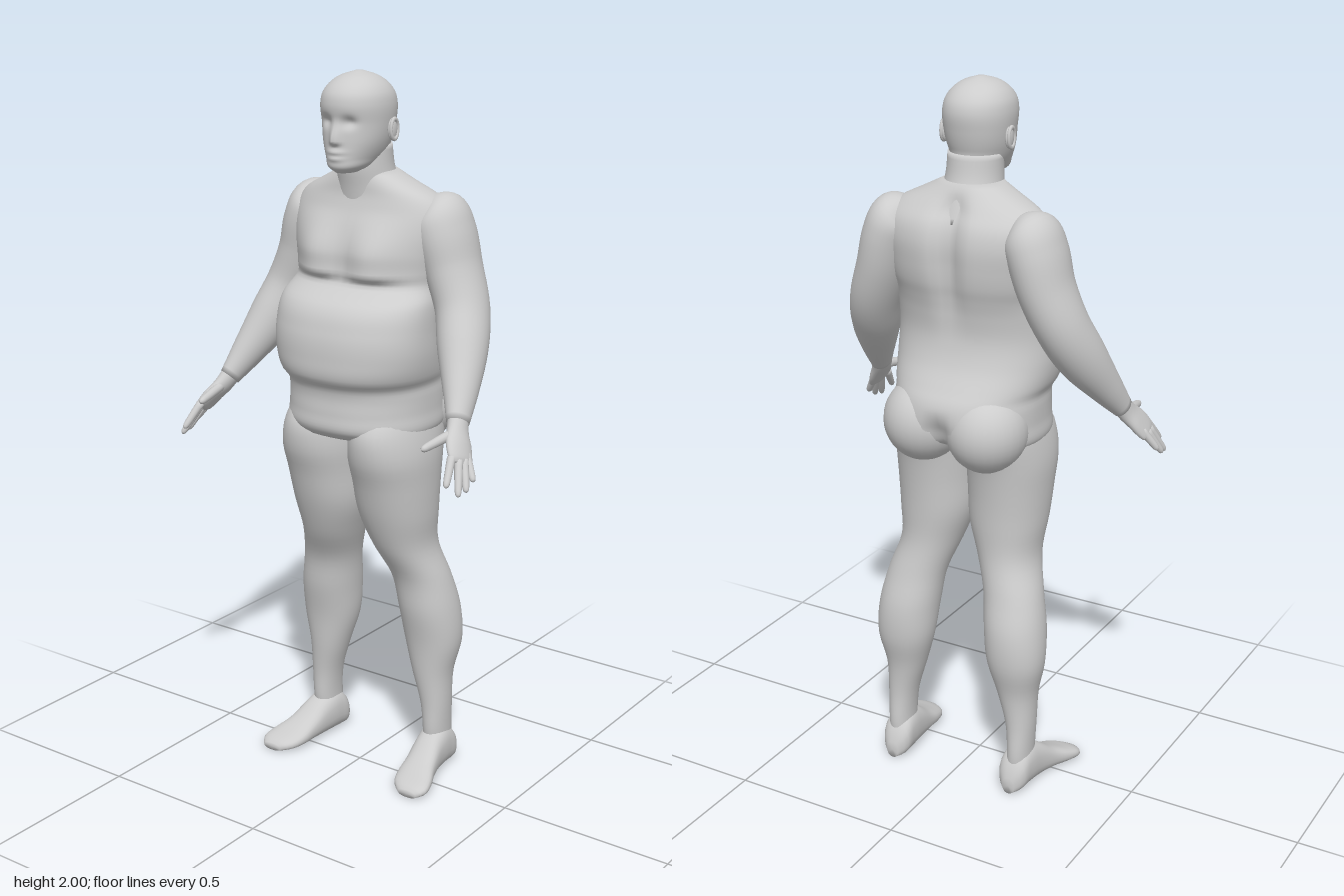
import * as THREE from 'three';

const V = (x, y, z) => new THREE.Vector3(x, y, z);
const gauss = (x, s) => Math.exp(-(x * x) / (s * s));
const step = THREE.MathUtils.smoothstep;
const pow = (c, e) => Math.sign(c) * Math.abs(c) ** (2 / e);

// Skin closed rings of points into a capped smooth surface.
function skin(rings) {
  const n = rings[0].length, m = rings.length, pos = [], idx = [];
  rings.forEach(r => r.forEach(p => pos.push(p.x, p.y, p.z)));
  for (let i = 0; i < m - 1; i++) for (let j = 0; j < n; j++) {
    const k = (j + 1) % n, a = i * n + j, b = i * n + k;
    idx.push(a, a + n, b, b, a + n, b + n);
  }
  [0, m - 1].forEach((i, end) => {
    const c = rings[i].reduce((s, p) => s.add(p), V(0, 0, 0)).divideScalar(n);
    const ci = pos.length / 3;
    pos.push(c.x, c.y, c.z);
    for (let j = 0; j < n; j++) {
      const a = i * n + j, b = i * n + (j + 1) % n;
      end ? idx.push(ci, b, a) : idx.push(ci, a, b);
    }
  });
  const g = new THREE.BufferGeometry();
  g.setAttribute('position', new THREE.Float32BufferAttribute(pos, 3));
  g.setIndex(idx);
  g.computeVertexNormals();
  return g;
}

// Smoothly resample rows whose first entry ascends.
function resample(rows, count) {
  const size = rows[0].length;
  const f = new THREE.CubicInterpolant(new Float32Array(rows.map(r => r[0])), new Float32Array(rows.flat()), size);
  const a = rows[0][0], b = rows[rows.length - 1][0];
  return Array.from({ length: count + 1 }, (_, i) => Array.from(f.evaluate(a + (b - a) * i / count)));
}

// Horizontal slices: rows of [y, centre x, half width, front z, back z].
function slices(rows, { count = 40, n = 40, e = 2, s = 1, shape } = {}) {
  return skin(resample(rows, count).map(([y, cx, w, f, b]) =>
    Array.from({ length: n }, (_, j) => {
      const a = j / n * Math.PI * 2, c = Math.cos(a), d = Math.sin(a);
      const p = V(s * cx + w * pow(c, e), y, (f + b) / 2 + (f - b) / 2 * pow(d, e));
      if (shape) shape(p, d);
      return p;
    })));
}

// Limb along a path: rows of [x, y, z, radius across, radius fore and aft].
function limb(rows, s, count = 30, n = 24) {
  const path = new THREE.CatmullRomCurve3(rows.map(r => V(s * r[0], r[1], r[2])));
  const size = resample(rows.map((r, i) => [i, r[3], r[4]]), count);
  return skin(size.map(([t, a, b]) => {
    t /= rows.length - 1;
    const c = path.getPoint(t), T = path.getTangent(t);
    const N = T.clone().cross(V(0, 0, 1)).normalize(), B = N.clone().cross(T);
    return Array.from({ length: n }, (_, j) => {
      const q = j / n * Math.PI * 2;
      return c.clone().addScaledVector(N, a * Math.cos(q)).addScaledVector(B, b * Math.sin(q));
    });
  }));
}

// Foot built from heel to toe: rows of [z, centre x, half width, height].
function footGeometry(s) {
  const rows = [[-.182, .195, .018, .05], [-.165, .195, .038, .09], [-.12, .197, .045, .13], [-.06, .203, .046, .115],
    [0, .214, .05, .075], [.05, .227, .058, .05], [.09, .238, .052, .034], [.112, .243, .03, .022]];
  return skin(resample(rows, 24).map(([z, cx, w, h]) => Array.from({ length: 28 }, (_, j) => {
    const a = j / 28 * Math.PI * 2;
    return V(s * cx + w * pow(Math.cos(a), 2.4), h / 2 - h / 2 * pow(Math.sin(a), 2.4), z);
  })));
}

const TORSO = [[1.03, 0, .2, .14, -.2], [1.05, 0, .213, .163, -.232], [1.1, 0, .212, .166, -.243],
  [1.15, 0, .211, .164, -.237], [1.175, 0, .21, .17, -.228], [1.2, 0, .221, .189, -.212], [1.26, 0, .232, .195, -.178],
  [1.33, 0, .232, .187, -.16], [1.4, 0, .227, .155, -.165], [1.445, 0, .215, .09, -.175], [1.48, 0, .221, .078, -.185],
  [1.53, 0, .23, .075, -.192], [1.6, 0, .24, .06, -.192], [1.645, 0, .232, .045, -.178], [1.68, 0, .2, .035, -.152],
  [1.71, 0, .14, .033, -.13], [1.74, 0, .08, .03, -.11]];
const NECK = [[1.64, 0, .1, .035, -.15], [1.7, 0, .085, .043, -.125], [1.75, 0, .077, .052, -.106], [1.81, 0, .074, .05, -.095]];
const HEAD = [[1.742, 0, .025, .095, .02], [1.755, 0, .048, .111, -.02], [1.78, 0, .066, .112, -.073],
  [1.82, 0, .083, .11, -.09], [1.87, 0, .092, .108, -.102], [1.92, 0, .094, .114, -.106], [1.95, 0, .086, .105, -.095],
  [1.975, 0, .066, .08, -.07], [1.99, 0, .042, .052, -.042], [2, 0, .01, .016, -.01]];
const LEG = [[.05, .195, .035, -.075, -.16], [.1, .198, .034, -.06, -.165], [.2, .196, .041, -.055, -.16],
  [.3, .184, .058, -.045, -.167], [.4, .18, .083, -.035, -.19], [.5, .172, .087, -.015, -.19], [.6, .155, .084, 0, -.166],
  [.7, .124, .087, .05, -.147], [.8, .112, .107, .09, -.15], [.9, .112, .112, .12, -.16], [.98, .112, .113, .147, -.175],
  [1.06, .11, .1, .145, -.2], [1.12, .11, .08, .1, -.2]];
const ARM = [[.165, 1.665, -.08, .025, .03], [.195, 1.635, -.085, .07, .085], [.218, 1.58, -.086, .077, .098],
  [.245, 1.49, -.086, .073, .092], [.285, 1.39, -.07, .07, .082], [.32, 1.295, -.02, .066, .072],
  [.36, 1.195, .05, .045, .05], [.385, 1.13, .1, .028, .034]];
const PALM = [[.38, 1.145, .09, .027, .03], [.395, 1.11, .115, .023, .035], [.415, 1.08, .14, .019, .044],
  [.432, 1.053, .158, .015, .042], [.438, 1.043, .164, .008, .03]];
// Thumb, then index to little finger: base and tip.
const FINGERS = [[[.39, 1.11, .13], [.37, 1.09, .245]], [[.422, 1.065, .185], [.44, 1, .238]],
  [[.434, 1.055, .17], [.465, .975, .218]], [[.438, 1.052, .15], [.47, .98, .188]], [[.432, 1.06, .13], [.471, 1, .156]]];

// Chest muscles, spine groove and the cleft below it.
function shapeTorso(p, d) {
  const front = step(d, 0, .5), back = step(-d, .1, .7);
  const pec = step(p.y, 1.445, 1.475) * (1 - step(p.y, 1.52, 1.65));
  p.z += front * pec * .033 * gauss(Math.abs(p.x) - .09, .075);
  const groove = .032 * step(p.y, 1.3, 1.55) * (1 - step(p.y, 1.66, 1.73)) + .04 * (1 - step(p.y, 1.06, 1.16));
  p.z += back * groove * gauss(p.x, .035);
}

// Nose, eye sockets and lips.
function shapeHead(p, d) {
  if (d <= 0) return;
  const ax = Math.abs(p.x);
  p.z += step(d, 0, .5) * (.018 * gauss(p.x, .014) * step(p.y, 1.81, 1.825) * (1 - step(p.y, 1.83, 1.89))
    - .013 * gauss(ax - .035, .018) * gauss(p.y - 1.875, .015)
    + .006 * gauss(p.x, .025) * (gauss(p.y - 1.797, .007) + gauss(p.y - 1.78, .007)));
}

export function createModel() {
  const model = new THREE.Group();
  model.name = 'standingMan';
  const skinGrey = new THREE.MeshStandardMaterial({ color: 0xcccccc });
  skinGrey.name = 'skin grey';
  const add = (name, geometry, parent = model) => {
    const mesh = new THREE.Mesh(geometry, skinGrey);
    mesh.name = name;
    parent.add(mesh);
    return mesh;
  };
  const ball = (rx, ry, rz, x, y, z) => new THREE.SphereGeometry(1, 28, 20).scale(rx, ry, rz).translate(x, y, z);

  add('torso', slices(TORSO, { count: 80, n: 72, e: 2.25, shape: shapeTorso }));
  add('neck', slices(NECK, { count: 12 }));
  add('head', slices(HEAD, { count: 70, n: 72, e: 2.1, shape: shapeHead }));

  for (const [side, s] of [['left', 1], ['right', -1]]) {
    add(side + 'Ear', ball(.009, .029, .018, s * .095, 1.852, -.014));
    add(side + 'EarRim', new THREE.TorusGeometry(.021, .005, 8, 20).scale(.75, 1.25, 1)
      .rotateY(Math.PI / 2).translate(s * .101, 1.853, -.014));
    add(side + 'Buttock', ball(.112, .118, .118, s * .098, 1.085, -.132));
    add(side + 'Leg', slices(LEG, { count: 50, n: 36, e: 2.1, s }));
    add(side + 'Foot', footGeometry(s));
    add(side + 'Arm', limb(ARM, s, 40, 32));

    // Hand with tapering, round-tipped fingers
    const hand = new THREE.Group();
    hand.name = side + 'Hand';
    model.add(hand);
    add('palm', limb(PALM, s, 16), hand);
    FINGERS.forEach(([a, b], i) => {
      const r = i ? .0105 : .0125;
      const rows = [[0, 1.1], [.5, 1], [.85, .85], [.96, .6], [1, .15]].map(([t, k]) =>
        [...V(...a).lerp(V(...b), t).toArray(), r * k, r * k]);
      add(i ? 'finger' + i : 'thumb', limb(rows, s, 12, 12), hand);
    });
  }
  return model;
}
